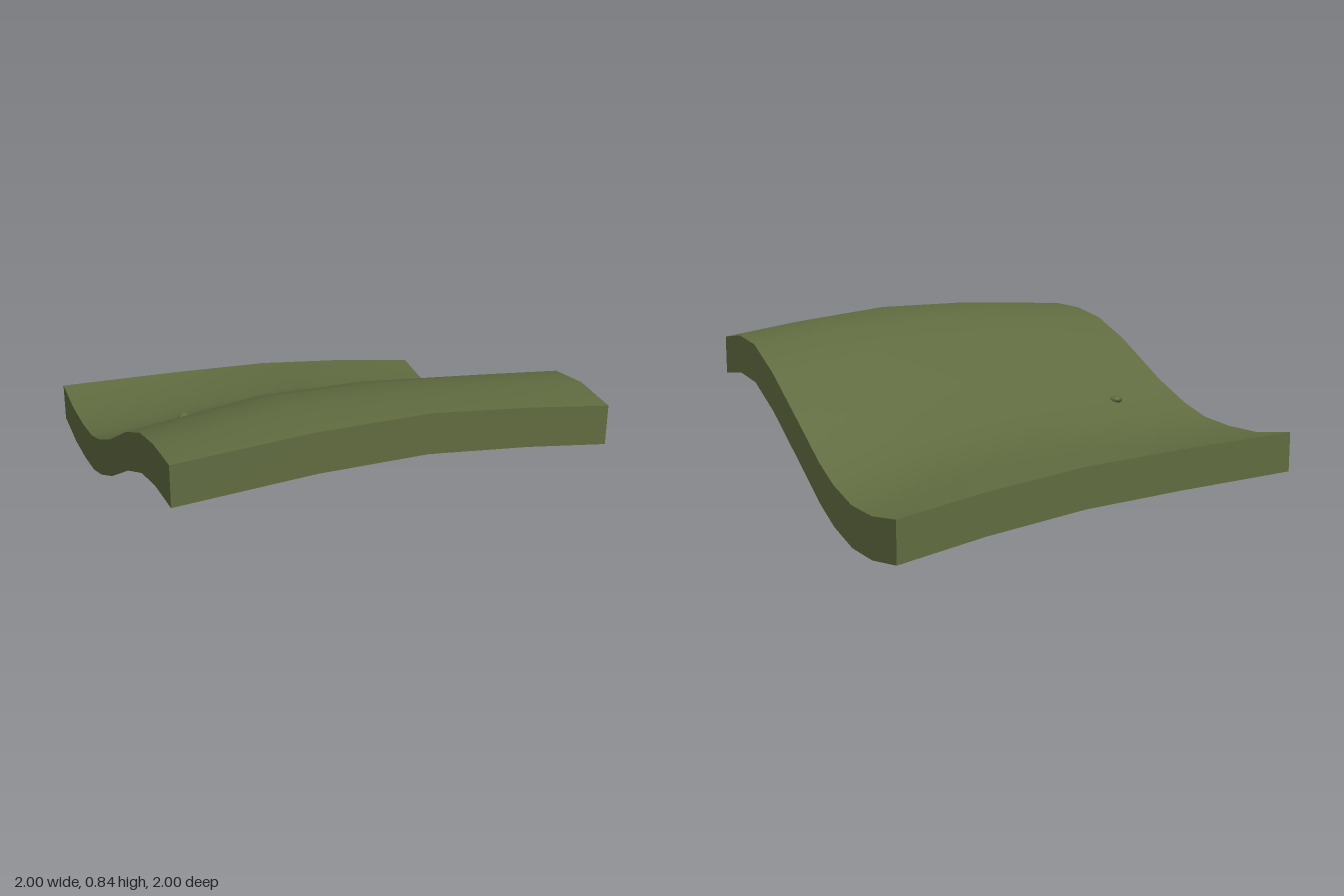
import * as THREE from 'three';

const SKIRT = 0.185; // height of the side walls
const X = [-1, -0.38, 0.12, 0.6, 1];
const Z = [-1, -0.77, -0.57, -0.38, -0.22, 0, 0.33, 0.57, 0.78, 1];
// Ground height along z (back to front), one cross-section per x
const H = [
  [0.37, 0.33, 0.325, 0.34, 0.385, 0.475, 0.65, 0.745, 0.78, 0.785],
  [0.355, 0.325, 0.33, 0.37, 0.45, 0.55, 0.725, 0.81, 0.84, 0.82],
  [0.335, 0.35, 0.36, 0.395, 0.47, 0.56, 0.715, 0.80, 0.825, 0.82],
  [0.285, 0.275, 0.28, 0.315, 0.385, 0.49, 0.67, 0.765, 0.79, 0.77],
  [0.225, 0.185, 0.185, 0.23, 0.30, 0.43, 0.62, 0.725, 0.745, 0.715],
];

export function createModel() {
  const group = new THREE.Group();
  const grass = new THREE.MeshStandardMaterial({ color: 0x606b40, side: THREE.DoubleSide });
  grass.name = 'mossGreen';

  const add = (name, geometry) => {
    const mesh = new THREE.Mesh(geometry, grass);
    mesh.name = name;
    group.add(mesh);
    return mesh;
  };

  // Rolling ground sheet, open underneath
  const ground = new THREE.PlaneGeometry(2, 2, X.length - 1, Z.length - 1);
  Z.forEach((z, j) => X.forEach((x, i) => {
    ground.attributes.position.setXYZ(j * X.length + i, x, H[i][j], z);
  }));
  ground.computeVertexNormals();
  add('ground', ground);

  // Side walls hang from each border of the sheet
  const wall = (name, points) => {
    const n = points.length;
    const geometry = new THREE.PlaneGeometry(1, 1, n - 1, 1);
    points.forEach(([x, y, z], i) => {
      geometry.attributes.position.setXYZ(i, x, y, z);
      geometry.attributes.position.setXYZ(n + i, x, y - SKIRT, z);
    });
    geometry.computeVertexNormals();
    add(name, geometry);
  };
  const row = (j) => X.map((x, i) => [x, H[i][j], Z[j]]);
  const column = (i) => Z.map((z, j) => [X[i], H[i][j], z]);
  wall('frontWall', row(Z.length - 1));
  wall('backWall', row(0).reverse());
  wall('leftWall', column(X.length - 1).reverse());
  wall('rightWall', column(0));

  // Small pebble embedded in the slope
  const pebble = add('pebble', new THREE.SphereGeometry(1, 10, 8));
  pebble.scale.set(0.033, 0.022, 0.042);
  pebble.position.set(-0.58, 0.432, -0.2);
  pebble.rotation.x = 0.35;

  return group;
}
